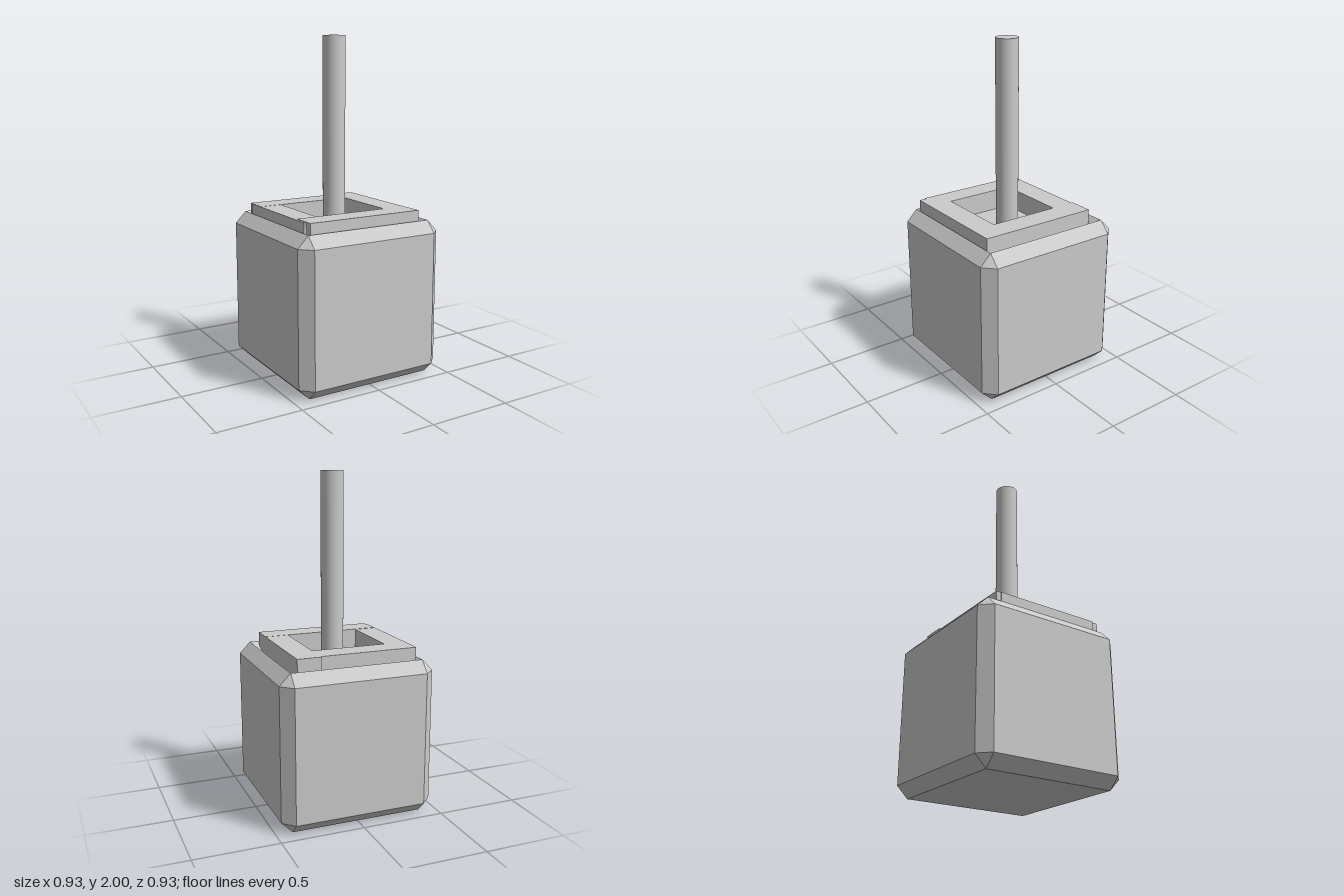
import * as THREE from 'three';

const material = new THREE.MeshStandardMaterial({ color: 0xcccccc, flatShading: true });
const smooth = new THREE.MeshStandardMaterial({ color: 0xcccccc });

// Square ring with cut corners: sides at distance b, each side running from -a to a
function ring(y, b, a) {
  return [[b, -a], [b, a], [a, b], [-a, b], [-b, a], [-b, -a], [-a, -b], [a, -b]]
    .map(([x, z]) => new THREE.Vector3(x, y, z));
}

// Skin a stack of rings and close both ends
function skin(rings) {
  const pos = [];
  const tri = (...pts) => {
    if (new THREE.Triangle(...pts).getArea() > 1e-8) pts.forEach((p) => pos.push(p.x, p.y, p.z));
  };
  for (let r = 0; r < rings.length - 1; r++) {
    const lo = rings[r], up = rings[r + 1];
    for (let i = 0; i < 8; i++) {
      const j = (i + 1) % 8;
      tri(lo[i], up[i], up[j]);
      tri(lo[i], up[j], lo[j]);
    }
  }
  const first = rings[0], last = rings[rings.length - 1];
  const c0 = new THREE.Vector3(0, first[0].y, 0), c1 = new THREE.Vector3(0, last[0].y, 0);
  for (let i = 0; i < 8; i++) {
    const j = (i + 1) % 8;
    tri(c0, first[i], first[j]);
    tri(c1, last[j], last[i]);
  }
  const g = new THREE.BufferGeometry();
  g.setAttribute('position', new THREE.Float32BufferAttribute(pos, 3));
  g.computeVertexNormals();
  return g;
}

export function createModel() {
  const group = new THREE.Group();
  const add = (name, geometry, mat = material) => {
    const mesh = new THREE.Mesh(geometry, mat);
    mesh.name = name;
    group.add(mesh);
    return mesh;
  };

  // Bevelled cube with a shallow sloping recess in the top
  add('body', skin([
    ring(0, 0.4, 0.4),
    ring(0.067, 0.467, 0.4),
    ring(0.867, 0.467, 0.4),
    ring(0.935, 0.4, 0.4),
    ring(0.867, 0.333, 0.267),
  ]));

  // Four slightly uneven bars framing the square opening
  const bars = [
    ['rimBarLeft', 0.2, 0.345, -0.35, 0.38, 0.995],
    ['rimBarFront', -0.38, 0.345, 0.24, 0.385, 0.996],
    ['rimBarBack', -0.39, 0.2, -0.34, -0.195, 0.995],
    ['rimBarRight', -0.395, -0.257, -0.31, 0.34, 0.994],
  ];
  for (const [name, x0, x1, z0, z1, top] of bars) {
    const bottom = 0.865;
    add(name, new THREE.BoxGeometry(x1 - x0, top - bottom, z1 - z0))
      .position.set((x0 + x1) / 2, (top + bottom) / 2, (z0 + z1) / 2);
  }

  // Upright rod standing in the recess
  add('rod', new THREE.CylinderGeometry(0.067, 0.067, 1.14, 32), smooth).position.y = 1.43;

  return group;
}
